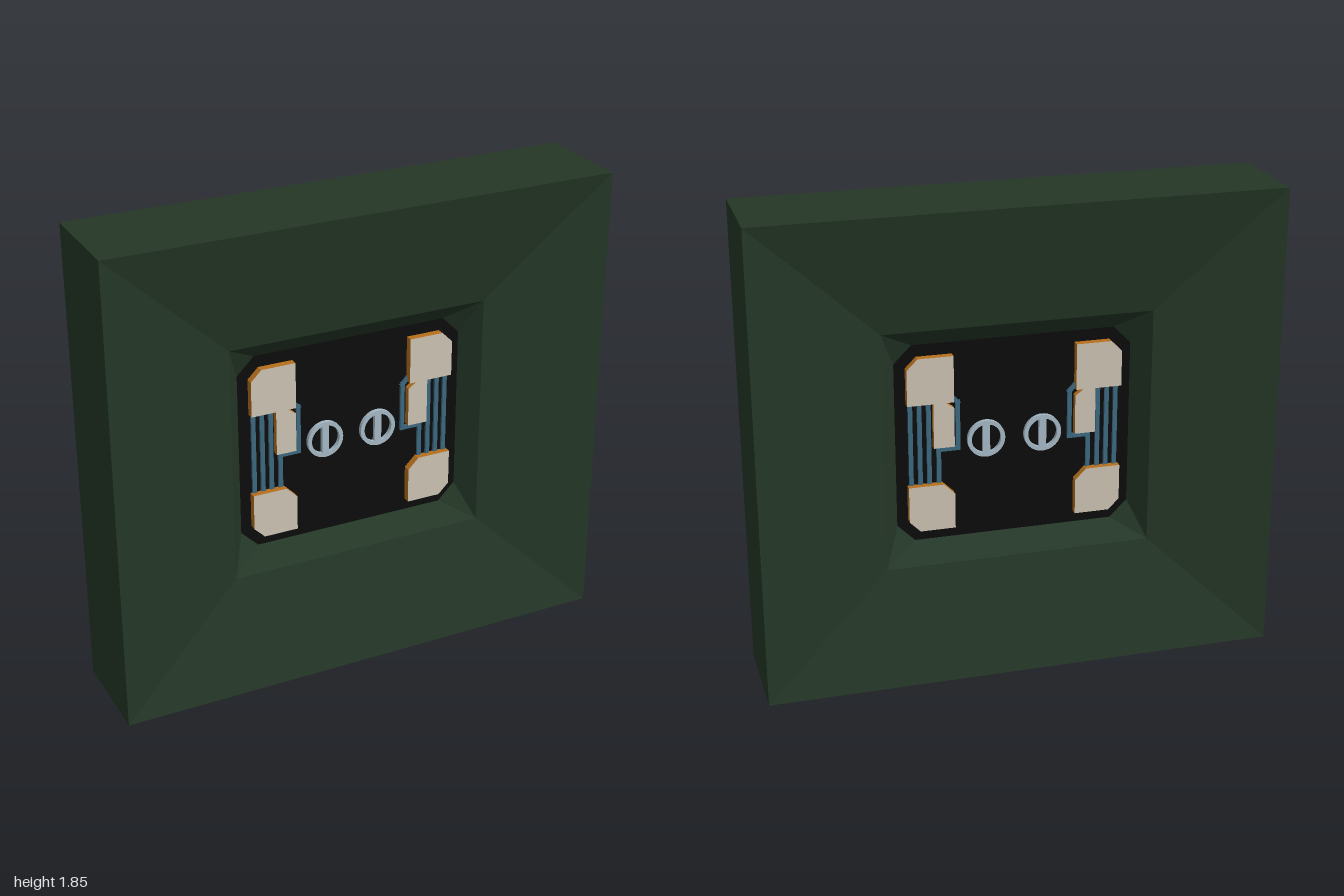
import * as THREE from 'three';

const mat = (name, color, side = THREE.FrontSide) => {
  const m = new THREE.MeshStandardMaterial({ color, side });
  m.name = name;
  return m;
};

const MID = 0.925, FLOOR = 0.035;

// Rectangle with cut corners as eight points, counter-clockwise
function ring(hw, y0, y1, cut, z) {
  return [
    [-hw + cut, y0], [hw - cut, y0], [hw, y0 + cut], [hw, y1 - cut],
    [hw - cut, y1], [-hw + cut, y1], [-hw, y1 - cut], [-hw, y0 + cut],
  ].map(([x, y]) => new THREE.Vector3(x, y, z));
}

// Flat-shaded skin through a list of rings
function loft(rings) {
  const pts = [];
  for (let r = 0; r + 1 < rings.length; r++) {
    const A = rings[r], B = rings[r + 1];
    for (let i = 0; i < 8; i++) {
      const j = (i + 1) % 8;
      if (A[i].distanceTo(A[j]) > 1e-6) pts.push(A[i], A[j], B[j]);
      if (B[i].distanceTo(B[j]) > 1e-6) pts.push(A[i], B[j], B[i]);
      else if (A[i].distanceTo(A[j]) > 1e-6) pts.push(A[i], B[j], B[i]);
    }
  }
  const g = new THREE.BufferGeometry().setFromPoints(pts);
  g.computeVertexNormals();
  return g;
}

const shapeOf = (pts) => new THREE.Shape(pts.map(([x, y]) => new THREE.Vector2(x, y)));
const slab = (shape, depth) =>
  new THREE.ExtrudeGeometry(shape, { depth, bevelEnabled: false, curveSegments: 20 });

export function createModel() {
  const green = mat('dark green', 0x243727);
  const black = mat('panel black', 0x0c0c0d);
  const cream = mat('pad cream', 0xcbc3b3);
  const orange = mat('pad edge orange', 0xb8701c);
  const blue = mat('trace blue', 0x3c6880);
  const silver = mat('ring silver', 0xa6bac6);

  function add(parent, name, geo, material, x = 0, y = 0, z = 0) {
    const m = new THREE.Mesh(geo, material);
    m.name = name;
    m.position.set(x, y, z);
    parent.add(m);
    return m;
  }

  // Flat strip following a path of points
  function trace(parent, path) {
    const w = 0.017;
    for (let i = 0; i + 1 < path.length; i++) {
      const [x0, y0] = path[i], [x1, y1] = path[i + 1];
      const len = Math.hypot(x1 - x0, y1 - y0);
      const m = add(parent, 'trace', new THREE.BoxGeometry(len + w, w, 0.009), blue,
        (x0 + x1) / 2, (y0 + y1) / 2, FLOOR + 0.0045);
      m.rotation.z = Math.atan2(y1 - y0, x1 - x0);
    }
  }

  // One face of the block: half the casing, recessed panel and circuit
  function buildFace() {
    const face = new THREE.Group();
    const floor = ring(0.457, 0.533, 1.318, 0.068, FLOOR);
    add(face, 'casing', loft([
      ring(1, 0, 1.85, 0, 0), ring(1, 0, 1.85, 0, 0.2),
      ring(0.517, 0.46, 1.395, 0, 0.115), floor,
    ]), green);
    add(face, 'panel', new THREE.ShapeGeometry(shapeOf(floor.map((p) => [p.x, p.y]))), black, 0, 0, FLOOR);

    for (const s of [-1, 1]) {
      const side = new THREE.Group();
      side.name = s < 0 ? 'rightCircuit' : 'leftCircuit';
      face.add(side);
      const flip = (pts) => pts.map(([x, y]) => [s * x, y]);
      const pad = (name, pts, depth) =>
        add(side, name, slab(shapeOf(flip(pts)), depth), [cream, orange], 0, 0, FLOOR);

      // Contact pads
      pad('upperPad', [[0.237, 1.09], [0.415, 1.09], [0.415, 1.23], [0.373, 1.272], [0.237, 1.272]], 0.03);
      pad('lowerPad', [[0.237, 0.58], [0.373, 0.58], [0.415, 0.622], [0.415, 0.763], [0.28, 0.763], [0.237, 0.72]], 0.03);
      pad('smallPad', [[0.235, 0.91], [0.315, 0.91], [0.315, 1.09], [0.27, 1.09], [0.235, 1.065]], 0.024);

      // Conductive traces
      for (const x of [0.4, 0.365, 0.33]) trace(side, flip([[x, 0.75], [x, 1.1]]));
      trace(side, flip([[0.293, 0.75], [0.293, 0.897], [0.218, 0.897], [0.218, 1.08], [0.25, 1.115]]));

      // Ring with a centre bar
      const hoop = new THREE.Shape().absarc(0, 0, 0.073, 0, Math.PI * 2);
      hoop.holes.push(new THREE.Path().absarc(0, 0, 0.057, 0, Math.PI * 2, true));
      add(side, 'ring', slab(hoop, 0.016), silver, s * 0.11, MID, FLOOR);
      add(side, 'ringBar', new THREE.BoxGeometry(0.028, 0.122, 0.016), silver, s * 0.11, MID, FLOOR + 0.008);
    }
    return face;
  }

  const model = new THREE.Group();
  model.name = 'recessedCircuitBlock';
  const front = buildFace();
  front.name = 'frontFace';
  const back = buildFace();
  back.name = 'backFace';
  back.rotation.y = Math.PI;
  model.add(front, back);
  return model;
}
